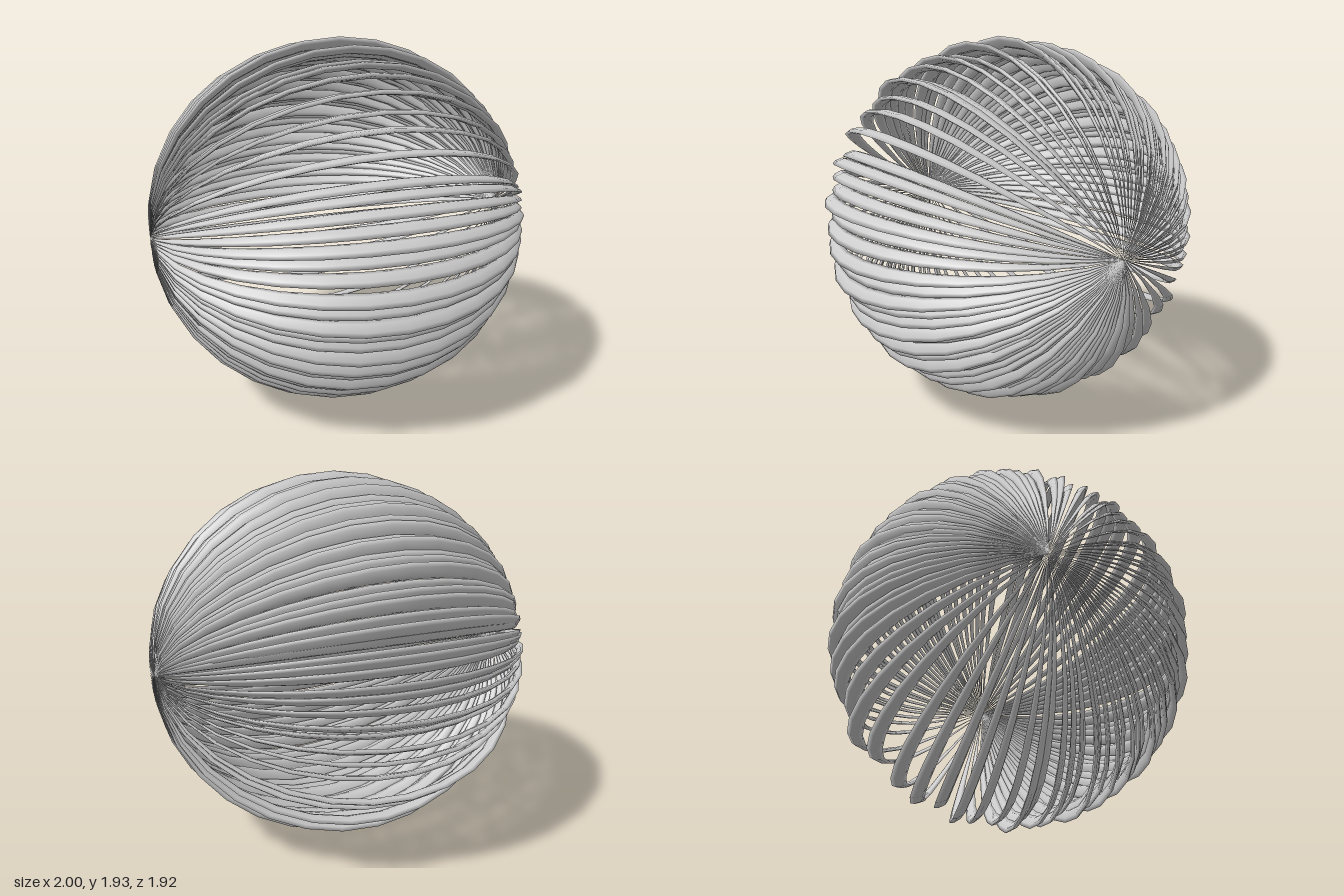
import * as THREE from 'three';

// Direction of each rib around the x axis, in degrees from straight up towards the back
const ANGLES = [
  -1, 4, 7.5, 11.5, 16, 20, 24, 27, 31.5, 34, 36, 38, 42, 45, 48, 50, 53, 57, 60, 62, 66, 69, 71, 75, 77, 80, 84, 87,
  91, 95, 99, 103, 108, 115, 123.5, 131, 143, 151, 158.5, 165, 171, 178.5,
  183, 186, 191, 194.5, 198.7, 203, 205, 208.5, 211.7, 216, 218.5, 222, 225, 228, 230, 233, 236, 240, 242.7, 247,
  251, 254.7, 258.8, 263.5, 270, 274.7, 278.7, 283, 287.5, 292, 295.6, 303, 311, 317.5, 323, 326, 331.6, 337, 343,
  347.5, 351,
];

// One tapered half-ring blade in the xy plane, from pole to pole, tilted like a louvre
function ribGeometry(segments = 16, sides = 6, halfWidth = 0.042, halfThickness = 0.013, tilt = 0.87) {
  const positions = [];
  const indices = [];
  for (let i = 0; i <= segments; i++) {
    const t = (Math.PI * i) / segments;
    const taper = Math.max(Math.sin(t), 0.0005);
    for (let j = 0; j < sides; j++) {
      const a = (2 * Math.PI * j) / sides;
      const u = Math.cos(a) * halfWidth * taper;
      const v = Math.sin(a) * halfThickness * taper;
      const r = 1 + u * Math.sin(tilt) - v * Math.cos(tilt);
      positions.push(r * Math.cos(t), r * Math.sin(t), u * Math.cos(tilt) + v * Math.sin(tilt));
    }
  }
  for (let i = 0; i < segments; i++) {
    for (let j = 0; j < sides; j++) {
      const a = i * sides + j;
      const b = i * sides + ((j + 1) % sides);
      indices.push(a, a + sides, b, b, a + sides, b + sides);
    }
  }
  const geometry = new THREE.BufferGeometry();
  geometry.setAttribute('position', new THREE.Float32BufferAttribute(positions, 3));
  geometry.setIndex(indices);
  geometry.computeVertexNormals();
  return geometry;
}

export function createModel() {
  const model = new THREE.Group();
  model.name = 'ribbedBall';
  const material = new THREE.MeshStandardMaterial({ color: 0xcccccc });
  const geometry = ribGeometry();

  // Ribs fan around the x axis, with slightly varied bulge
  ANGLES.forEach((degrees, i) => {
    const rib = new THREE.Mesh(geometry, material);
    rib.name = `rib${i + 1}`;
    rib.rotation.x = -THREE.MathUtils.degToRad(degrees);
    rib.scale.y = 0.912 + 0.023 * Math.cos(i * 2.4);
    model.add(rib);
  });

  // Rest the ball on the ground
  model.updateMatrixWorld(true);
  const bottom = new THREE.Box3().setFromObject(model, true).min.y;
  model.children.forEach((rib) => { rib.position.y = -bottom; });
  return model;
}
